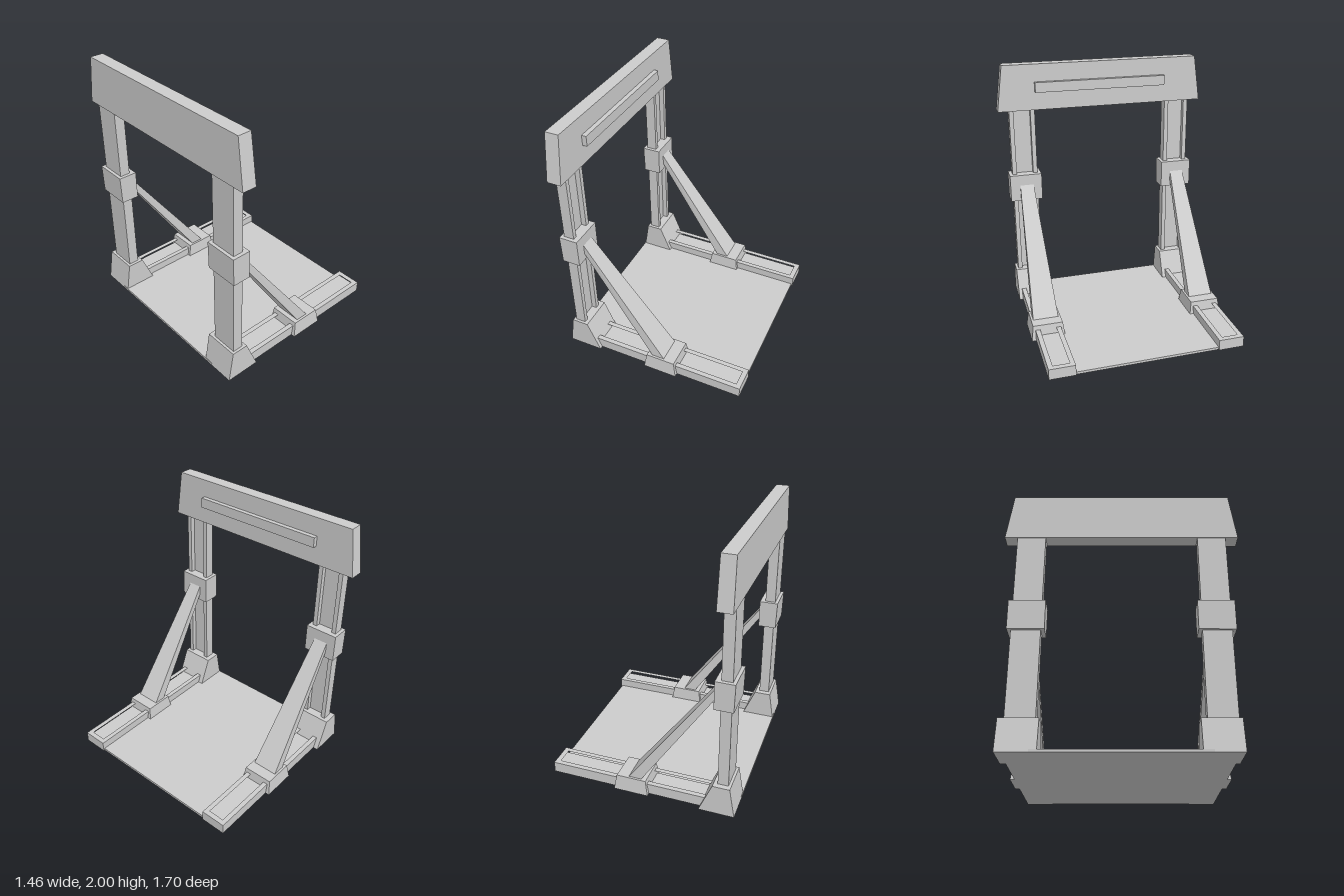
import * as THREE from 'three';

const material = new THREE.MeshStandardMaterial({ color: 0xcccccc, flatShading: true });

function addMesh(parent, name, geometry) {
  const mesh = new THREE.Mesh(geometry, material);
  mesh.name = name;
  parent.add(mesh);
  return mesh;
}

// Box whose lower and upper rectangles, [x0, x1, z0, z1], may differ
function taperedBox(y0, y1, low, high = low) {
  const geometry = new THREE.BoxGeometry(1, 1, 1);
  const p = geometry.attributes.position;
  for (let i = 0; i < p.count; i++) {
    const top = p.getY(i) > 0;
    const r = top ? high : low;
    p.setXYZ(i, p.getX(i) < 0 ? r[0] : r[1], top ? y1 : y0, p.getZ(i) < 0 ? r[2] : r[3]);
  }
  geometry.computeVertexNormals();
  return geometry;
}

const outline = (pts) => pts.map(([x, z]) => new THREE.Vector2(x, -z));
const rect = (x0, x1, z0, z1) => outline([[x0, z0], [x1, z0], [x1, z1], [x0, z1]]);

// Plan outline in x and z, raised from y0 to y1
function raised(points, y0, y1, hole) {
  const shape = new THREE.Shape(points);
  if (hole) shape.holes.push(new THREE.Path(hole));
  const geometry = new THREE.ExtrudeGeometry(shape, { depth: y1 - y0, bevelEnabled: false });
  return geometry.rotateX(-Math.PI / 2).translate(0, y0, 0);
}

function createSide(name, c) {
  const side = new THREE.Group();
  side.name = name;

  // Upright with a channel open to the inside of the frame
  const z = c.post;
  addMesh(side, 'post', raised(outline([
    [-0.67, z - 0.103], [-0.59, z - 0.103], [-0.59, z - 0.068], [-0.63, z - 0.068],
    [-0.63, z + 0.068], [-0.59, z + 0.068], [-0.59, z + 0.103], [-0.67, z + 0.103],
  ]), 0.1, 1.7));

  addMesh(side, 'collar', taperedBox(0.88, 1.1,
    [-0.69, -0.55, z - 0.13, z + 0.13], [-0.695, -0.55, z - 0.13, z + 0.13]));

  addMesh(side, 'foot', taperedBox(0, 0.24,
    [-0.73, -0.46, c.foot - 0.135, c.foot + 0.135],
    [-0.69, -0.56, c.foot - 0.135, c.foot + 0.135]));

  // Floor rail: solid base with a raised rim around a slot
  const r = c.rail;
  addMesh(side, 'railBase', taperedBox(0, 0.04, [-0.6, 0.73, r - 0.1, r + 0.1]));
  addMesh(side, 'railRim', raised(rect(-0.6, 0.73, r - 0.1, r + 0.1), 0.04, 0.085,
    rect(-0.56, 0.69, r - 0.063, r + 0.063)));

  addMesh(side, 'slider', taperedBox(0, 0.12,
    [-0.06, 0.21, r - 0.132, r + 0.132], [-0.04, 0.19, r - 0.117, r + 0.117]));

  // Brace widening from the collar down to the slider
  const brace = taperedBox(0, 1, [-1, 1, r - 0.1, r + 0.1], [-1, 1, r - 0.055, r + 0.055]);
  const p = brace.attributes.position;
  for (let i = 0; i < p.count; i++) {
    const outer = p.getX(i) > 0;
    if (p.getY(i) > 0.5) p.setXY(i, -0.552, outer ? 1.015 : 0.935);
    else p.setXY(i, outer ? 0.1 : 0, 0.118);
  }
  brace.computeVertexNormals();
  addMesh(side, 'brace', brace);
  return side;
}

export function createModel() {
  const model = new THREE.Group();
  model.name = 'gantryFrame';

  model.add(createSide('leftSide', { post: 0.657, foot: 0.645, rail: 0.652 }));
  model.add(createSide('rightSide', { post: -0.655, foot: -0.663, rail: -0.659 }));

  // Head beam, longer along its lower edge
  addMesh(model, 'headBeam', taperedBox(1.635, 2,
    [-0.675, -0.565, -0.85, 0.85], [-0.67, -0.567, -0.8, 0.8]));
  addMesh(model, 'beamBar', taperedBox(1.78, 1.86, [-0.6, -0.53, -0.525, 0.55]));

  // Thin floor plate between the rails
  addMesh(model, 'floorPlate', taperedBox(0, 0.02, [-0.73, 0.72, -0.58, 0.58]));

  return model;
}
